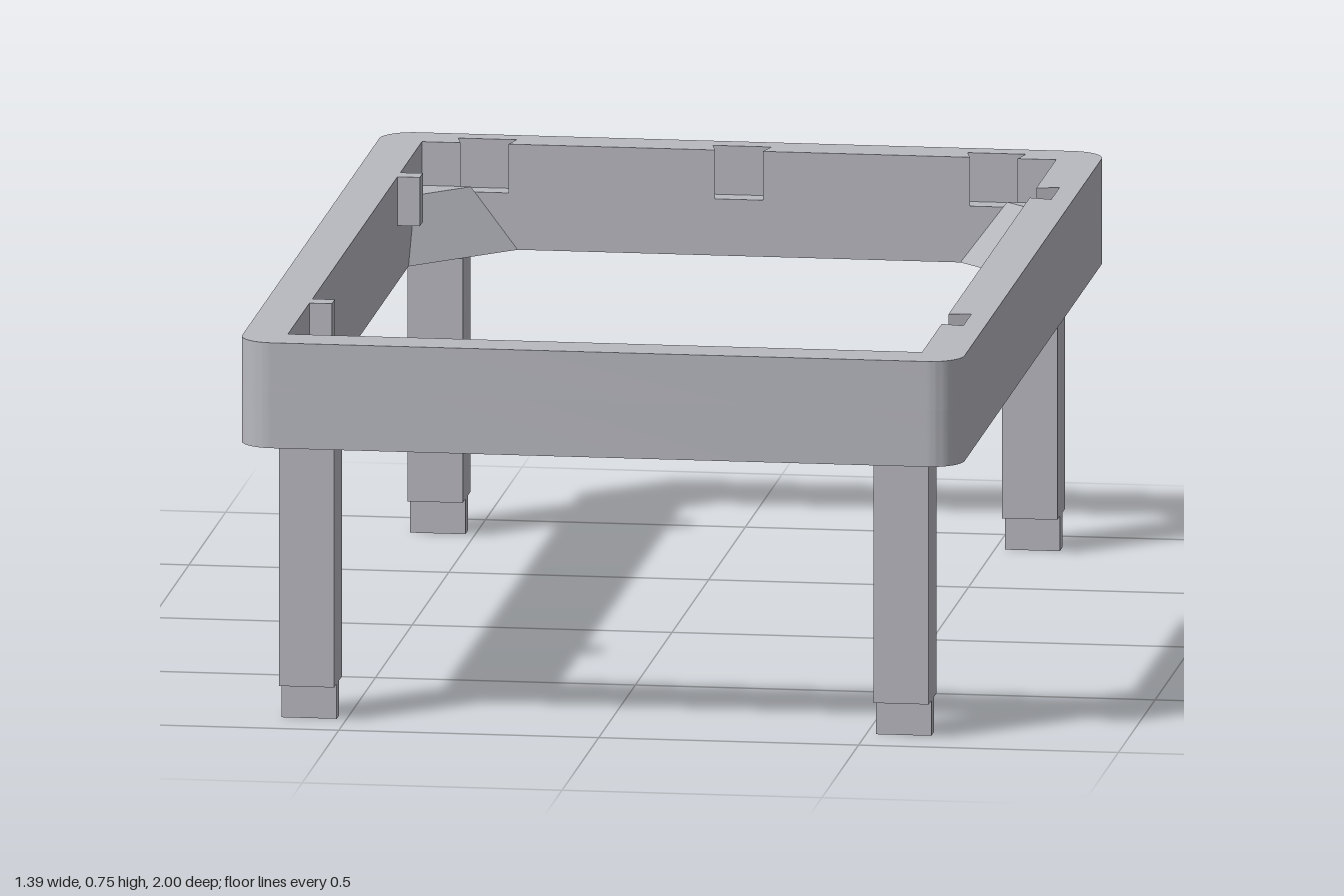
import * as THREE from 'three';
import { toCreasedNormals } from 'three/addons/utils/BufferGeometryUtils.js';
import { ConvexGeometry } from 'three/addons/geometries/ConvexGeometry.js';

const HALF_X = 0.695, HALF_Z = 1, RADIUS = 0.065;
const IN_X = 0.61, IN_Z = 0.914;
const BOTTOM = 0.545, SOCKET = 0.655, TOP = 0.75;

// Rounded outer outline of the frame, drawn with shape y = -z
function outline() {
  const s = new THREE.Shape();
  const a = HALF_X - RADIUS, b = HALF_Z - RADIUS;
  s.absarc(a, b, RADIUS, 0, Math.PI / 2);
  s.absarc(-a, b, RADIUS, Math.PI / 2, Math.PI);
  s.absarc(-a, -b, RADIUS, Math.PI, Math.PI * 1.5);
  s.absarc(a, -b, RADIUS, Math.PI * 1.5, Math.PI * 2);
  s.closePath();
  return s;
}

// Inner opening, optionally with dovetail sockets in the back and side rails
function opening(sockets) {
  const pts = [[-IN_X, -IN_Z], [IN_X, -IN_Z]];
  const narrow = 0.046, wide = 0.056, depth = 0.043;
  const dovetail = [[-narrow, 0], [-wide, depth], [wide, depth], [narrow, 0]];
  if (sockets) {
    for (const c of [-0.6, 0.6]) for (const [t, d] of dovetail) pts.push([IN_X + d, c + t]);
  }
  pts.push([IN_X, IN_Z]);
  if (sockets) {
    for (const c of [0.49, 0, -0.49]) for (const [t, d] of dovetail) pts.push([c - t, IN_Z + d]);
  }
  pts.push([-IN_X, IN_Z]);
  return new THREE.Path(pts.map(([x, y]) => new THREE.Vector2(x, y)));
}

function frameLayer(y0, y1, sockets) {
  const shape = outline();
  shape.holes.push(opening(sockets));
  const g = new THREE.ExtrudeGeometry(shape, { depth: y1 - y0, bevelEnabled: false, curveSegments: 10 });
  g.rotateX(-Math.PI / 2);
  g.translate(0, y0, 0);
  return toCreasedNormals(g, 0.5);
}

export function createModel() {
  const model = new THREE.Group();
  model.name = 'tableFrame';
  const grey = new THREE.MeshStandardMaterial({ color: 0xb8b9c0 });
  grey.name = 'lightGrey';

  const add = (name, geometry, parent = model) => {
    const mesh = new THREE.Mesh(geometry, grey);
    mesh.name = name;
    parent.add(mesh);
    return mesh;
  };
  const box = (name, w, h, d, x, y, z, parent) =>
    add(name, new THREE.BoxGeometry(w, h, d), parent).position.set(x, y, z);

  // Rails: plain lower layer, socketed upper layer
  add('lowerFrame', frameLayer(BOTTOM, SOCKET, false));
  add('upperFrame', frameLayer(SOCKET, TOP, true));

  // Joining tabs on the -x rail
  for (const z of [-0.6, 0.6]) {
    box('joiningTab', 0.05, TOP - SOCKET, 0.04, -IN_X + 0.018, (TOP + SOCKET) / 2, z);
  }

  // Legs with foot tenons, and sloped corner braces above them
  for (const sx of [-1, 1]) for (const sz of [-1, 1]) {
    const corner = new THREE.Group();
    corner.name = (sz > 0 ? 'front' : 'back') + (sx > 0 ? 'Left' : 'Right') + 'Corner';
    model.add(corner);
    const x = sx * 0.572, z = sz * 0.877;
    box('leg', 0.106, BOTTOM - 0.068, 0.104, x, (BOTTOM + 0.068) / 2, z, corner);
    box('footTenon', 0.106, 0.068, 0.034, x, 0.034, z, corner);

    const points = [];
    for (const [y, size] of [[BOTTOM, 0.184], [0.665, 0.094]]) {
      for (const [dx, dz] of [[0, 0], [size, 0], [0, size]]) {
        points.push(new THREE.Vector3(sx * (IN_X - dx), y, sz * (IN_Z - dz)));
      }
    }
    add('cornerBrace', new ConvexGeometry(points), corner);
  }
  return model;
}
